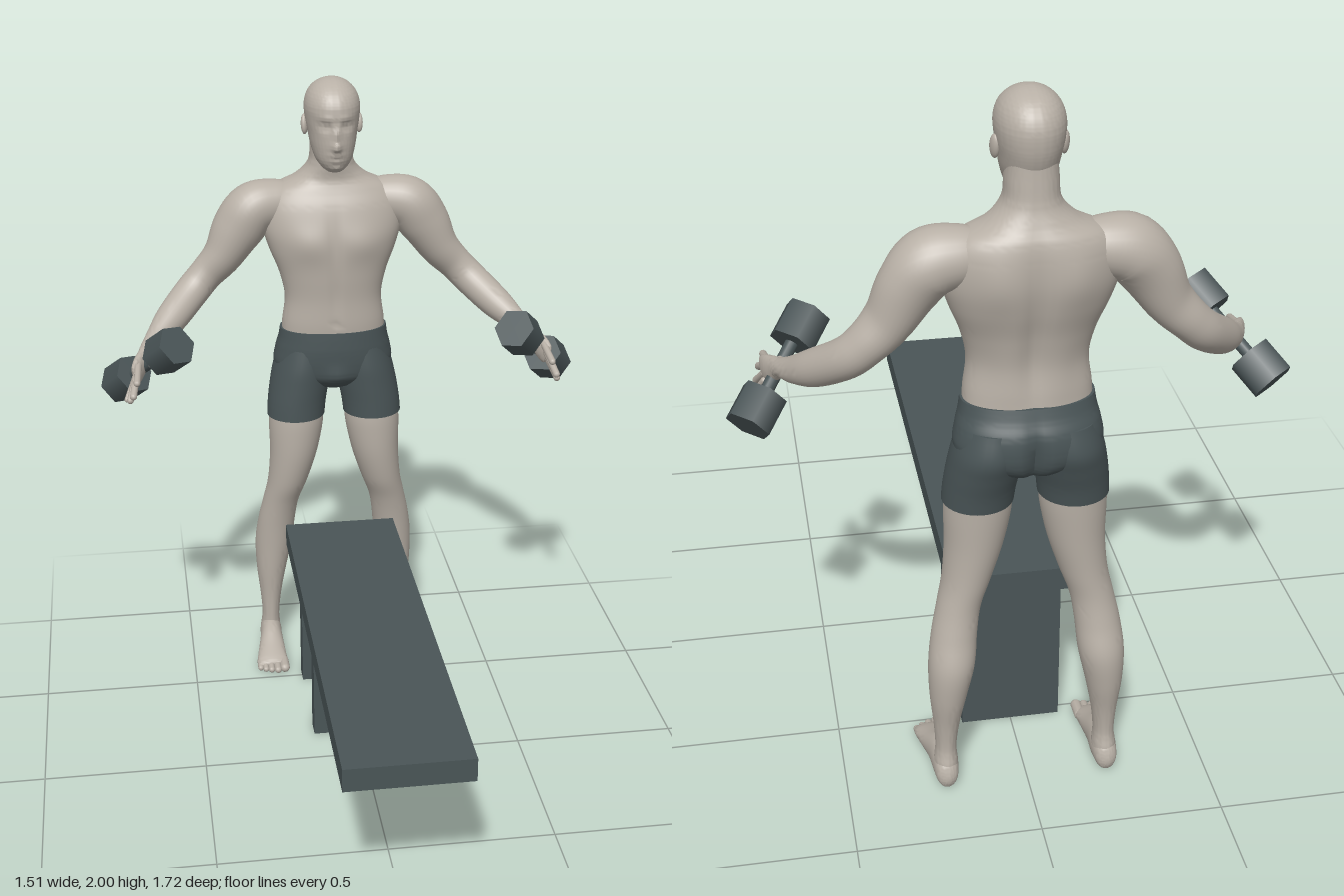
import * as THREE from 'three';
import { toCreasedNormals } from 'three/addons/utils/BufferGeometryUtils.js';

const V3 = (x, y, z) => new THREE.Vector3(x, y, z);
const X = V3(1, 0, 0), Y = V3(0, 1, 0), Z = V3(0, 0, 1);

// Catmull-Rom through rows of numbers, k samples per span
function smoothRows(rows, k) {
  const at = i => rows[Math.min(rows.length - 1, Math.max(0, i))];
  const out = [];
  for (let i = 0; i < rows.length - 1; i++) {
    for (let s = 0; s < k; s++) {
      const t = s / k, [p, a, b, q] = [at(i - 1), at(i), at(i + 1), at(i + 2)];
      out.push(a.map((v, c) => v + 0.5 * t * (b[c] - p[c] + t * (2 * p[c] - 5 * v + 4 * b[c] - q[c]
        + t * (3 * (v - b[c]) + q[c] - p[c])))));
    }
  }
  out.push(at(rows.length - 1));
  return out;
}

// Loft of elliptical sections [x, y, z, radius along ref, radius across].
// axis fixes the section normal; without it the path tangent is used.
// bumps are soft swellings [x, y, width, height, amount, front(1) or back(-1)].
function loft(rows, { axis, ref = X, n = 28, k = 6, power = 1, bumps = [], floor = -1 } = {}) {
  const r = smoothRows(rows, k), pos = [], idx = [];
  const centre = i => V3(...r[Math.min(r.length - 1, Math.max(0, i))].slice(0, 3));
  const round = v => Math.sign(v) * Math.abs(v) ** power;
  r.forEach((row, i) => {
    const c = centre(i);
    const T = axis ? axis.clone() : centre(i + 1).sub(centre(i - 1)).normalize();
    const U = ref.clone().addScaledVector(T, -ref.dot(T)).normalize();
    const W = T.clone().cross(U);
    for (let j = 0; j < n; j++) {
      const q = j / n * Math.PI * 2;
      const p = c.clone().addScaledVector(U, Math.max(0.001, row[3]) * round(Math.cos(q)))
        .addScaledVector(W, Math.max(0.001, row[4]) * round(Math.sin(q)));
      const side = p.z > c.z ? 1 : -1;
      for (const [bx, by, sx, sy, amount, face] of bumps) {
        if (face !== side) continue;
        const dx = (Math.abs(p.x) - bx) / sx, dy = (p.y - by) / sy;
        p.z += side * amount * Math.abs(Math.sin(q)) * Math.exp(-dx * dx - dy * dy);
      }
      pos.push(p.x, Math.max(floor, p.y), p.z);
    }
  });
  for (let i = 0; i < r.length - 1; i++) {
    for (let j = 0; j < n; j++) {
      const a = i * n + j, b = i * n + (j + 1) % n;
      idx.push(a, b, a + n, b, b + n, a + n);
    }
  }
  // end caps
  const last = (r.length - 1) * n, m = r.length * n;
  pos.push(...r[0].slice(0, 3), ...r[r.length - 1].slice(0, 3));
  for (let j = 0; j < n; j++) {
    const e = (j + 1) % n;
    idx.push(m, e, j, m + 1, last + j, last + e);
  }
  const g = new THREE.BufferGeometry();
  g.setAttribute('position', new THREE.Float32BufferAttribute(pos, 3));
  g.setIndex(idx);
  return toCreasedNormals(g, 1.1);
}

// Rows [y, half width, front z, back z] for upright, centred sections
const upright = rows => rows.map(([y, w, f, b]) => [0, y, (f + b) / 2, w, (f - b) / 2]);

export function createModel() {
  const model = new THREE.Group();
  const skin = new THREE.MeshStandardMaterial({ color: 0xb8b0a6 });
  skin.name = 'skin';
  const dark = new THREE.MeshStandardMaterial({ color: 0x4a5557 });
  dark.name = 'dark slate';

  const add = (name, geometry, material, parent = model) => {
    const mesh = new THREE.Mesh(geometry, material);
    mesh.name = name;
    parent.add(mesh);
    return mesh;
  };
  const between = (mesh, a, b) => {
    mesh.position.copy(a).lerp(b, 0.5);
    mesh.quaternion.setFromUnitVectors(Y, b.clone().sub(a).normalize());
    return mesh;
  };
  const digit = (name, a, b, r, parent) =>
    between(add(name, new THREE.CapsuleGeometry(r, a.distanceTo(b), 5, 10), skin, parent), a, b);

  // Bench
  const box = (name, w, h, d, y, z) => add(name, new THREE.BoxGeometry(w, h, d), dark).position.set(0, y, z);
  box('benchTop', 0.36, 0.07, 1.435, 0.505, 0.1435);
  box('benchMiddleLeg', 0.284, 0.47, 0.062, 0.235, -0.164);
  box('benchEndLeg', 0.284, 0.47, 0.062, 0.235, -0.5);

  // Torso and neck
  add('torso', loft(upright([
    [1.17, 0.168, -0.615, -0.81], [1.22, 0.165, -0.612, -0.806], [1.30, 0.156, -0.612, -0.80],
    [1.38, 0.172, -0.606, -0.815], [1.46, 0.203, -0.602, -0.838], [1.53, 0.222, -0.607, -0.85],
    [1.60, 0.218, -0.625, -0.85], [1.65, 0.185, -0.648, -0.842], [1.685, 0.115, -0.66, -0.825],
    [1.73, 0.073, -0.655, -0.808], [1.79, 0.066, -0.655, -0.80], [1.85, 0.06, -0.67, -0.795],
  ]), {
    axis: Y, n: 72, power: 0.9, bumps: [
      [0.09, 1.49, 0.07, 0.05, 0.011, 1], [0, 1.5, 0.016, 0.08, -0.008, 1], [0, 1.32, 0.013, 0.09, -0.005, 1],
      [0, 1.42, 0.025, 0.2, -0.016, -1], [0.1, 1.55, 0.055, 0.08, 0.01, -1], [0.07, 1.3, 0.04, 0.1, 0.006, -1],
      [0, 1.222, 0.01, 0.008, -0.006, 1],
    ],
  }), skin);

  // Head with brow, eye sockets, nose, lips and chin
  add('head', loft(upright([
    [1.722, 0.022, -0.615, -0.66], [1.735, 0.04, -0.6, -0.70], [1.76, 0.058, -0.587, -0.75],
    [1.80, 0.07, -0.582, -0.785], [1.84, 0.077, -0.582, -0.803], [1.88, 0.084, -0.583, -0.811],
    [1.92, 0.086, -0.583, -0.81], [1.955, 0.076, -0.6, -0.795], [1.98, 0.055, -0.63, -0.768],
    [1.995, 0.028, -0.665, -0.73], [2.0, 0.001, -0.698, -0.70],
  ]), {
    axis: Y, n: 80, k: 8, power: 0.95, bumps: [
      [0, 1.805, 0.014, 0.016, 0.02, 1], [0, 1.84, 0.01, 0.028, 0.012, 1], [0.035, 1.868, 0.017, 0.013, -0.011, 1],
      [0.035, 1.866, 0.009, 0.006, 0.005, 1], [0.028, 1.893, 0.026, 0.009, 0.005, 1],
      [0, 1.779, 0.02, 0.006, 0.007, 1], [0, 1.763, 0.018, 0.006, 0.006, 1], [0, 1.738, 0.02, 0.012, 0.007, 1],
    ],
  }), skin);

  // Shorts around the hips
  add('shortsHips', loft(upright([
    [0.985, 0.05, -0.67, -0.79], [1.0, 0.10, -0.645, -0.82], [1.03, 0.17, -0.62, -0.842],
    [1.07, 0.194, -0.611, -0.85], [1.12, 0.188, -0.607, -0.845], [1.16, 0.178, -0.608, -0.826],
    [1.193, 0.173, -0.61, -0.814],
  ]), {
    axis: Y, n: 72, power: 0.9,
    bumps: [[0, 1.05, 0.018, 0.07, -0.025, -1], [0, 1.04, 0.035, 0.035, 0.01, 1]],
  }), dark);

  for (const s of [1, -1]) {
    const side = s > 0 ? 'left' : 'right';
    const v = (x, y, z) => V3(x * s, y, z);
    const flip = rows => rows.map(([x, ...rest]) => [x * s, ...rest]);
    const part = name => {
      const g = new THREE.Group();
      g.name = side + name;
      model.add(g);
      return g;
    };

    const ear = add(side + 'Ear', new THREE.SphereGeometry(1, 16, 12), skin);
    ear.scale.set(0.011, 0.032, 0.018);
    ear.position.copy(v(0.085, 1.855, -0.705));
    ear.rotation.set(-0.2, 0.3 * s, 0);

    // Leg
    const leg = part('Leg');
    add('shortsLeg', loft(flip([
      [0.127, 0.89, -0.708, 0.095, 0.095], [0.122, 0.94, -0.713, 0.096, 0.1], [0.112, 1.0, -0.722, 0.097, 0.109],
      [0.102, 1.06, -0.73, 0.094, 0.116], [0.09, 1.13, -0.727, 0.085, 0.105],
    ]), { axis: Y, n: 36 }), dark, leg);
    add('legSkin', loft(flip([
      [0.224, 0.03, -0.757, 0.032, 0.044], [0.224, 0.07, -0.755, 0.033, 0.046], [0.223, 0.12, -0.75, 0.029, 0.041],
      [0.221, 0.20, -0.752, 0.036, 0.046], [0.216, 0.30, -0.757, 0.051, 0.06], [0.206, 0.40, -0.756, 0.063, 0.068],
      [0.196, 0.49, -0.74, 0.062, 0.063], [0.181, 0.57, -0.725, 0.06, 0.064], [0.158, 0.65, -0.712, 0.066, 0.075],
      [0.138, 0.75, -0.706, 0.078, 0.085], [0.128, 0.85, -0.707, 0.089, 0.09], [0.125, 0.91, -0.71, 0.09, 0.09],
    ]), { axis: Y, n: 36 }), skin, leg);

    // Foot and toes
    add('foot', loft(flip([
      [0.225, 0.035, -0.81, 0.008, 0.012], [0.225, 0.042, -0.795, 0.028, 0.04], [0.225, 0.05, -0.75, 0.036, 0.055],
      [0.228, 0.047, -0.69, 0.038, 0.052], [0.233, 0.03, -0.62, 0.047, 0.035], [0.236, 0.02, -0.57, 0.052, 0.022],
      [0.236, 0.017, -0.55, 0.045, 0.014],
    ]), { axis: Z, floor: 0.002 }), skin, leg);
    [[0.197, -0.529, 0.016], [0.221, -0.524, 0.012], [0.242, -0.53, 0.011], [0.261, -0.537, 0.01], [0.278, -0.548, 0.01]]
      .forEach(([x, z, r]) => digit('toe', v(x, 0.02, -0.575), v(x, r + 0.001, z), r, leg));

    // Arm from shoulder to wrist
    const arm = part('Arm');
    add('armSkin', loft(flip([
      [0.11, 1.595, -0.745, 0.06, 0.06], [0.18, 1.597, -0.743, 0.078, 0.075], [0.25, 1.58, -0.737, 0.088, 0.084],
      [0.30, 1.52, -0.733, 0.078, 0.082], [0.35, 1.435, -0.732, 0.067, 0.063], [0.405, 1.375, -0.732, 0.058, 0.054],
      [0.455, 1.325, -0.708, 0.054, 0.054], [0.525, 1.265, -0.632, 0.05, 0.05], [0.575, 1.228, -0.565, 0.037, 0.035],
      [0.605, 1.21, -0.515, 0.026, 0.025], [0.615, 1.2, -0.495, 0.026, 0.022],
    ]), { ref: Z.clone().add(Y) }), skin, arm);

    // Hand
    add('palm', loft(flip([
      [0.605, 1.212, -0.52, 0.024, 0.022], [0.617, 1.197, -0.49, 0.031, 0.02], [0.634, 1.177, -0.455, 0.039, 0.018],
      [0.645, 1.162, -0.428, 0.038, 0.013], [0.648, 1.157, -0.418, 0.028, 0.006],
    ]), { ref: v(0.2, 0.85, 0.4).normalize(), n: 20 }), skin, arm);
    [
      [[0.638, 1.19, -0.43], [0.645, 1.165, -0.345], 0.0105],
      [[0.643, 1.172, -0.425], [0.658, 1.125, -0.338], 0.011],
      [[0.647, 1.155, -0.435], [0.668, 1.1, -0.37], 0.0105],
      [[0.65, 1.142, -0.452], [0.677, 1.085, -0.415], 0.009],
      [[0.612, 1.2, -0.485], [0.595, 1.195, -0.415], 0.012],
    ].forEach(([a, b, r], i) => digit(i < 4 ? 'finger' : 'thumb', v(...a), v(...b), r, arm));

    // Hexagonal dumbbell
    const bell = part('Dumbbell');
    const low = v(0.677, 1.105, -0.54), high = v(0.545, 1.252, -0.38);
    const dir = high.clone().sub(low).normalize();
    between(add('handle', new THREE.CylinderGeometry(0.018, 0.018, 0.25, 16), dark, bell), low, high);
    for (const c of [low, high]) {
      const ends = [-0.05, 0.05].map(d => c.clone().addScaledVector(dir, d));
      between(add('weight', new THREE.CylinderGeometry(0.065, 0.065, 0.1, 6), dark, bell), ...ends);
    }
  }
  return model;
}
